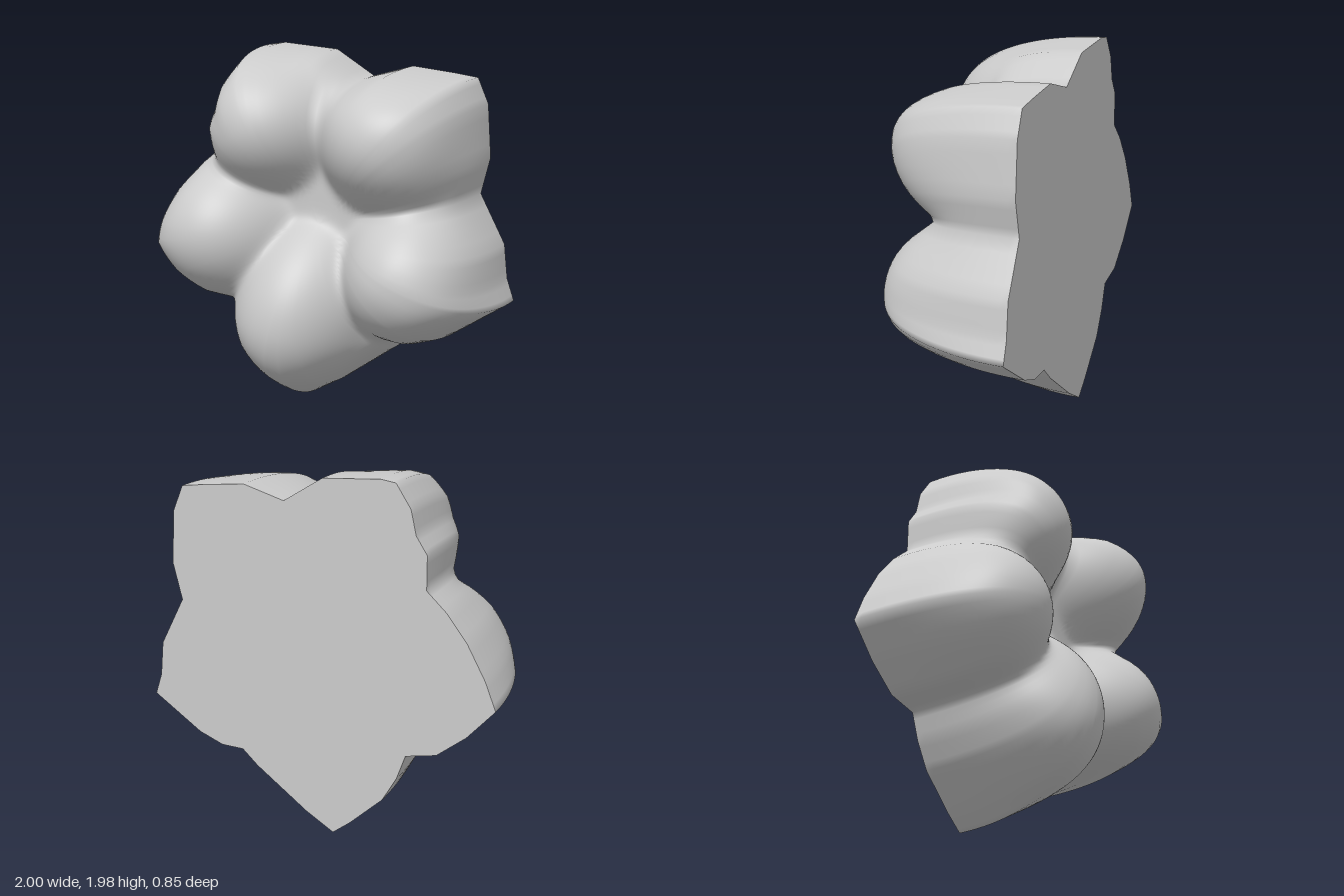
import * as THREE from 'three';

const BACK = -0.43, CX = 0.05, CY = 1.06;

// Outline of the flat back, clockwise seen from the front
const OUTLINE = [
  [-0.45, 1.98], [-0.37, 1.99], [-0.05, 1.96], [0.17, 1.82], [0.4, 1.88], [0.64, 1.85], [0.77, 1.83],
  [0.83, 1.69], [0.85, 1.4], [0.8, 1.2], [0.94, 0.93], [0.96, 0.74], [1, 0.62], [0.72, 0.44], [0.58, 0.39],
  [0.45, 0.39], [0.36, 0.31], [0.06, 0.1], [-0.1, 0.01], [-0.2, 0.09], [-0.39, 0.27], [-0.47, 0.41],
  [-0.52, 0.55], [-0.69, 0.59], [-0.85, 0.72], [-1, 0.89], [-0.94, 1.04], [-0.84, 1.22], [-0.73, 1.36],
  [-0.62, 1.46], [-0.62, 1.64], [-0.56, 1.73], [-0.53, 1.86],
];

// Rounded lobes: peak x, y, height above the back, then inward, outward and sideways reach
const LOBES = [
  [-0.28, 1.57, 0.79, 0.46, 0.56, 0.46],
  [-0.54, 0.98, 0.83, 0.5, 0.57, 0.5],
  [-0.09, 0.52, 0.85, 0.66, 0.56, 0.47],
  [0.55, 0.8, 0.82, 0.46, 0.58, 0.48],
  [0.44, 1.52, 0.82, 0.48, 0.56, 0.49],
];

// Smooth maximum of the lobe domes and a low middle floor
function height(x, y) {
  const k = 22;
  let sum = Math.exp(k * 0.48);
  for (const [lx, ly, h, inward, outward, side] of LOBES) {
    const len = Math.hypot(lx - CX, ly - CY);
    const ux = (lx - CX) / len, uy = (ly - CY) / len;
    const along = (x - lx) * ux + (y - ly) * uy;
    const across = (y - ly) * ux - (x - lx) * uy;
    const q = (along / (along > 0 ? outward : inward)) ** 2 + (across / side) ** 2;
    sum += Math.exp(k * h * Math.sqrt(Math.max(0, 1 - q)));
  }
  return Math.log(sum) / k;
}

// Resample the outline, counter-clockwise
function outlinePoints(perEdge) {
  const pts = OUTLINE.slice().reverse(), out = [];
  pts.forEach(([x, y], i) => {
    const [nx, ny] = pts[(i + 1) % pts.length];
    for (let s = 0; s < perEdge; s++) {
      const f = s / perEdge;
      out.push([x + (nx - x) * f, y + (ny - y) * f]);
    }
  });
  return out;
}

// Rings from the centre out to the outline, dropping to the back at the rim
function lobedSurface(rim, rings) {
  const n = rim.length, pos = [CX, CY, BACK + height(CX, CY)], idx = [];
  for (let r = 1; r <= rings; r++) {
    const t = Math.sin((r / rings) * Math.PI / 2);
    const wall = r === rings ? 0 : Math.sqrt(1 - t ** 14);
    for (const [ox, oy] of rim) {
      const x = CX + (ox - CX) * t, y = CY + (oy - CY) * t;
      pos.push(x, y, BACK + height(x, y) * wall);
    }
  }
  for (let i = 0; i < n; i++) {
    const j = (i + 1) % n;
    idx.push(0, 1 + i, 1 + j);
    for (let r = 0; r < rings - 1; r++) {
      const a = 1 + r * n + i, b = 1 + r * n + j;
      idx.push(a, a + n, b + n, a, b + n, b);
    }
  }
  const g = new THREE.BufferGeometry();
  g.setAttribute('position', new THREE.Float32BufferAttribute(pos, 3));
  g.setIndex(idx);
  g.computeVertexNormals();
  return g;
}

export function createModel() {
  const group = new THREE.Group();
  group.name = 'lobedCluster';
  const material = new THREE.MeshStandardMaterial({ color: 0xcccccc });
  const rim = outlinePoints(4);

  // Five merged lobes
  const lobes = new THREE.Mesh(lobedSurface(rim, 48), material);
  lobes.name = 'lobes';
  group.add(lobes);

  // Flat back, turned to face -z
  const shape = new THREE.Shape(rim.map(([x, y]) => new THREE.Vector2(-x, y)));
  const back = new THREE.Mesh(new THREE.ShapeGeometry(shape), material);
  back.name = 'flatBack';
  back.rotation.y = Math.PI;
  back.position.z = BACK;
  group.add(back);
  return group;
}
